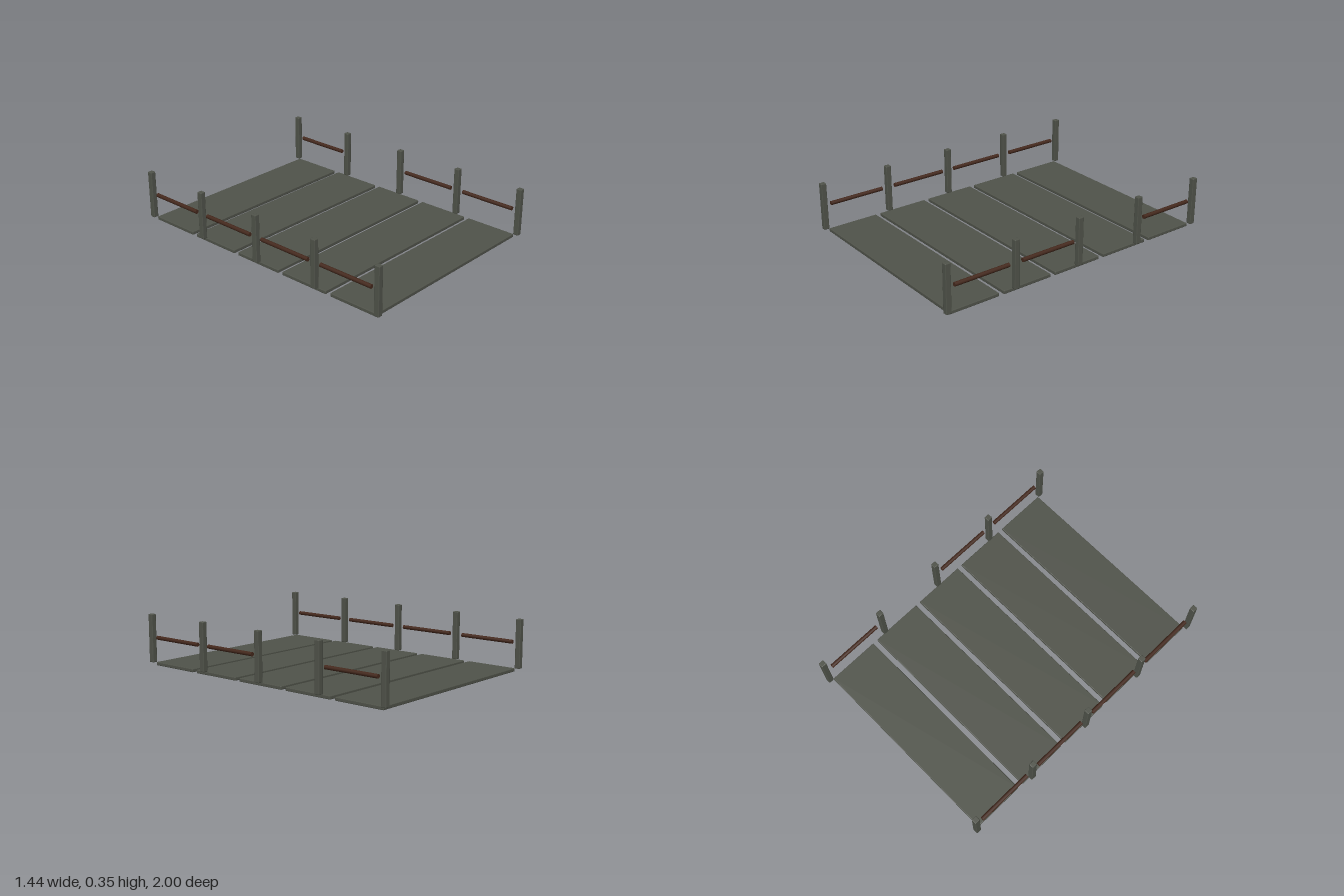
import * as THREE from 'three';
import { RoundedBoxGeometry } from 'three/addons/geometries/RoundedBoxGeometry.js';

// Box with narrow flat chamfers along its edges
function chamferedBox(w, h, d, bevel) {
  const geometry = new RoundedBoxGeometry(w, h, d, 1, bevel);
  geometry.computeVertexNormals();
  return geometry;
}

export function createModel() {
  const model = new THREE.Group();
  model.name = 'plankBridge';

  const weathered = new THREE.MeshStandardMaterial({ color: 0x50534a });
  weathered.name = 'weathered grey wood';
  const brown = new THREE.MeshStandardMaterial({ color: 0x44281c });
  brown.name = 'dark brown wood';

  const add = (name, geometry, material, x, y, z) => {
    const mesh = new THREE.Mesh(geometry, material);
    mesh.name = name;
    mesh.position.set(x, y, z);
    model.add(mesh);
  };

  // Deck of five wide planks
  const plank = chamferedBox(1.384, 0.023, 0.356, 0.004);
  for (let i = -2; i <= 2; i++) {
    add(`plank${i + 3}`, plank, weathered, 0, 0.0115, i * 0.392);
  }

  // Posts along both sides, with rails floating between them
  const post = chamferedBox(0.035, 0.325, 0.037, 0.004);
  const rail = new THREE.CylinderGeometry(0.0135, 0.0135, 0.391, 12).rotateX(Math.PI / 2);
  for (const [side, sign] of [['left', 1], ['right', -1]]) {
    for (let i = -2; i <= 2; i++) {
      add(`${side}Post${i + 3}`, post, weathered, sign * 0.702, 0.1845, i * 0.4908);
    }
    for (let i = 0; i < 4; i++) {
      if (side === 'left' && i === 1) continue; // one rail is missing
      add(`${side}Rail${i + 1}`, rail, brown, sign * 0.702, 0.192, (i - 1.5) * 0.491);
    }
  }

  return model;
}
